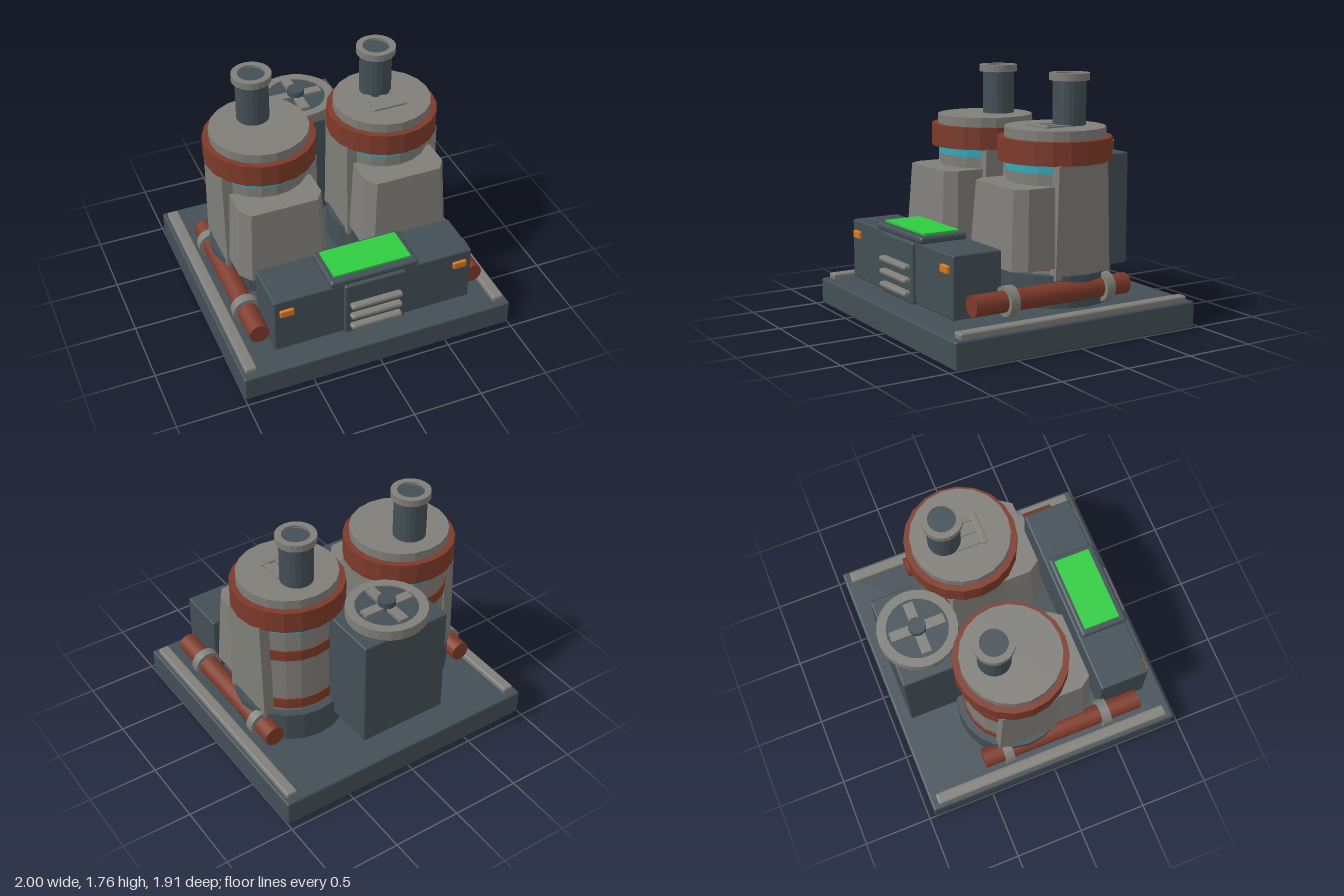
import * as THREE from 'three';
import { RoundedBoxGeometry } from 'three/addons/geometries/RoundedBoxGeometry.js';

const paint = (name, color, flatShading = false) => {
  const m = new THREE.MeshStandardMaterial({ color, flatShading });
  m.name = name;
  return m;
};

export function createModel() {
  const model = new THREE.Group();
  model.name = 'powerPlant';
  const slate = paint('slate', 0x434f56);
  const steel = paint('steel', 0x7f7e79);
  const rust = paint('rust', 0x7d3a2a);
  const cyan = paint('cyan', 0x2fa9bb);
  const green = paint('green', 0x2ecc40);
  const orange = paint('orange', 0xd9771f);

  const add = (parent, name, geo, mat, x = 0, y = 0, z = 0) => {
    const mesh = new THREE.Mesh(geo, mat);
    mesh.name = name;
    mesh.position.set(x, y, z);
    parent.add(mesh);
    return mesh;
  };

  // Box given by its limits, with a small rounded edge
  const box = (parent, name, mat, [x0, x1], [y0, y1], [z0, z1], r = 0) => {
    const s = [x1 - x0, y1 - y0, z1 - z0];
    const geo = r ? new RoundedBoxGeometry(...s, 2, r) : new THREE.BoxGeometry(...s);
    return add(parent, name, geo, mat, (x0 + x1) / 2, (y0 + y1) / 2, (z0 + z1) / 2);
  };

  // Faceted upright cylinder between two heights
  const drum = (parent, name, mat, r, y0, y1, x = 0, z = 0, sides = 20) => {
    const geo = new THREE.CylinderGeometry(r, r, y1 - y0, sides).toNonIndexed();
    geo.computeVertexNormals();
    return add(parent, name, geo, mat, x, (y0 + y1) / 2, z);
  };

  // Upright ring with a round hole
  const ring = (parent, name, mat, r, hole, y0, y1, x = 0, z = 0) => {
    const s = new THREE.Shape().absarc(0, 0, r, 0, Math.PI * 2);
    s.holes.push(new THREE.Path().absarc(0, 0, hole, 0, Math.PI * 2, true));
    const geo = new THREE.ExtrudeGeometry(s, { depth: y1 - y0, bevelEnabled: false, curveSegments: 12 });
    geo.rotateX(-Math.PI / 2);
    return add(parent, name, geo, mat, x, y0, z);
  };

  // Tapered side buttress, extruded along x
  const buttressShape = new THREE.Shape([
    [-0.22, 0.42], [0.22, 0.42], [0.195, 1.19], [-0.195, 1.19],
  ].map(p => new THREE.Vector2(...p)));
  const buttressGeo = new THREE.ExtrudeGeometry(buttressShape, { depth: 0.075, bevelEnabled: false });
  buttressGeo.translate(0, 0, -0.0375).rotateY(Math.PI / 2);

  // Front housing: chamfered plan, narrowing towards the top
  const housingShape = new THREE.Shape([
    [-0.33, 0], [0.33, 0], [0.33, -0.285], [0.265, -0.375], [-0.265, -0.375], [-0.33, -0.285],
  ].map(p => new THREE.Vector2(...p)));
  const housingGeo = new THREE.ExtrudeGeometry(housingShape, { depth: 0.54, bevelEnabled: false });
  housingGeo.rotateX(-Math.PI / 2);
  const hp = housingGeo.attributes.position;
  for (let i = 0; i < hp.count; i++) {
    const t = hp.getY(i) / 0.54;
    hp.setX(i, hp.getX(i) * (1 - 0.1 * t));
    hp.setZ(i, hp.getZ(i) * (1 - 0.09 * t));
  }
  housingGeo.computeVertexNormals();

  // Base slab and side rails
  box(model, 'baseSlab', slate, [-1, 1], [0, 0.19], [-0.955, 0.955], 0.015);
  for (const s of [-1, 1])
    box(model, 'sideRail', steel, [s * 0.932 - 0.042, s * 0.932 + 0.042], [0.18, 0.23], [-0.905, 0.905], 0.015);

  // Two reactor tanks
  const tankZ = -0.143;
  for (const s of [-1, 1]) {
    const tank = new THREE.Group();
    tank.name = s > 0 ? 'leftTank' : 'rightTank';
    tank.position.set(s * 0.46, 0, tankZ);
    model.add(tank);
    drum(tank, 'tankFoot', slate, 0.39, 0.23, 0.45);
    drum(tank, 'tankBody', steel, 0.334, 0.45, 1.125);
    drum(tank, 'lowerBand', rust, 0.344, 0.475, 0.555);
    drum(tank, 'upperBand', rust, 0.344, 0.9, 0.98);
    drum(tank, 'glowBand', cyan, 0.336, 1.125, 1.19);
    drum(tank, 'collar', rust, 0.393, 1.185, 1.343);
    drum(tank, 'tankCap', steel, 0.348, 1.343, 1.41);
    for (const e of [-1, 1]) add(tank, 'buttress', buttressGeo, steel, e * 0.308, 0, 0);
    add(tank, 'frontHousing', housingGeo, steel, 0, 0.505, -tankZ);
    // Chimney
    drum(tank, 'chimney', slate, 0.115, 1.41, 1.745, 0, -0.117);
    ring(tank, 'chimneyRim', steel, 0.139, 0.095, 1.715, 1.765, 0, -0.117);
  }

  // Grille on the left tank cap
  box(model, 'grilleBar', steel, [0.334, 0.586], [1.405, 1.425], [-0.027, 0.012], 0.006);
  for (const x of [0.37, 0.46, 0.55])
    box(model, 'grilleSlat', steel, [x - 0.022, x + 0.022], [1.405, 1.42], [-0.2, -0.027]);

  // Rear cooling unit with fan
  const fanZ = -0.64;
  box(model, 'coolingUnit', slate, [-0.332, 0.332], [0.345, 1.16], [-0.87, -0.37], 0.012);
  ring(model, 'fanRing', steel, 0.28, 0.215, 1.155, 1.23, 0, fanZ);
  drum(model, 'fanWell', slate, 0.22, 1.155, 1.222, 0, fanZ, 24);
  box(model, 'fanBlade', steel, [-0.19, 0.19], [1.22, 1.245], [fanZ - 0.035, fanZ + 0.035]);
  box(model, 'fanBlade', steel, [-0.035, 0.035], [1.22, 1.244], [fanZ - 0.195, fanZ + 0.195]);
  drum(model, 'fanHub', slate, 0.062, 1.22, 1.286, 0, fanZ, 16);

  // Front console
  box(model, 'console', slate, [-0.73, 0.73], [0.24, 0.667], [0.452, 0.815], 0.012);
  box(model, 'consolePanel', slate, [-0.225, 0.225], [0.237, 0.66], [0.7, 0.838], 0.015);
  box(model, 'screenHousing', slate, [-0.325, 0.325], [0.662, 0.715], [0.472, 0.825], 0.022);
  box(model, 'screen', green, [-0.283, 0.283], [0.71, 0.729], [0.508, 0.776]);
  for (const y of [0.305, 0.396, 0.487])
    box(model, 'ventBar', steel, [-0.19, 0.19], [y - 0.02, y + 0.02], [0.82, 0.885], 0.018);
  for (const s of [-1, 1])
    box(model, 'consoleLight', orange, [s * 0.64 - 0.05, s * 0.64 + 0.05], [0.54, 0.594], [0.79, 0.836], 0.008);

  // Side pipes with clamps
  const pipeGeo = new THREE.CylinderGeometry(0.072, 0.072, 1.215, 16).rotateX(Math.PI / 2);
  const clampGeo = new THREE.CylinderGeometry(0.102, 0.102, 0.068, 20).rotateX(Math.PI / 2);
  for (const s of [-1, 1]) {
    add(model, 'sidePipe', pipeGeo, rust, s * 0.805, 0.342, 0.117);
    for (const z of [0.449, -0.311]) add(model, 'pipeClamp', clampGeo, steel, s * 0.805, 0.342, z);
  }
  return model;
}
